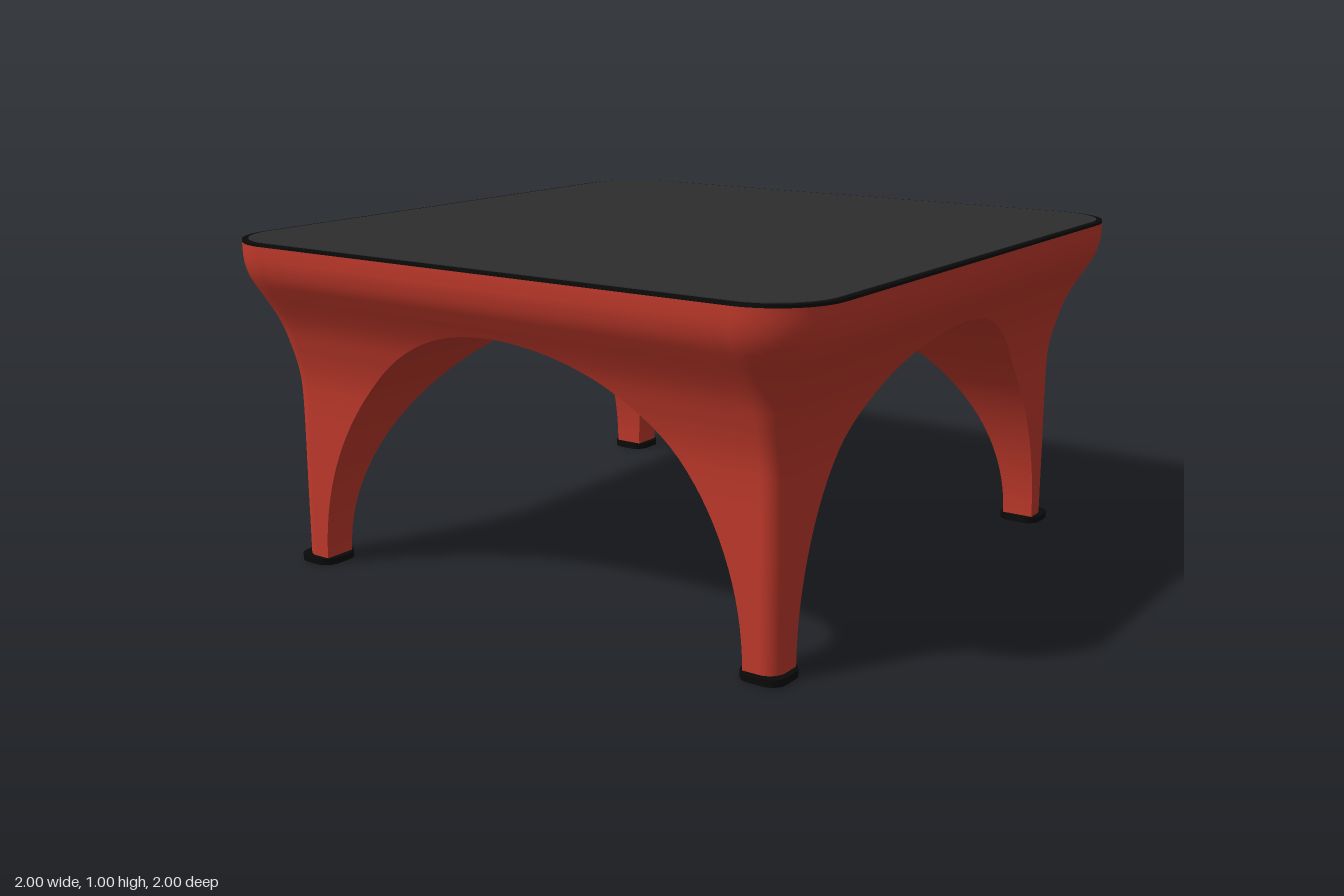
import * as THREE from 'three';

const FOOT_H = 0.02, TRIM_Y = 0.99, CORNER = 0.8;
const ARCH_RX = 0.75, ARCH_RY = 0.785, ARCH_STEPS = 64;

// Side profile: half width of the body at each height
const profile = new THREE.SplineCurve([
  [0.85, 0.0], [0.85, 0.25], [0.85, 0.5], [0.858, 0.6], [0.885, 0.7], [0.904, 0.75],
  [0.931, 0.8], [0.962, 0.85], [0.985, 0.89], [0.997, 0.93], [1, 0.965], [1, 1],
].map(([x, y]) => new THREE.Vector2(x, y))).getPoints(220);

function halfWidth(y) {
  let i = 1;
  while (i < profile.length - 1 && profile[i].y < y) i++;
  const a = profile[i - 1], b = profile[i];
  return THREE.MathUtils.mapLinear(y, a.y, b.y, a.x, b.x);
}

// Points of one arch, left to right
const arch = Array.from({ length: ARCH_STEPS + 1 }, (_, i) => {
  const t = Math.PI * (1 - i / ARCH_STEPS);
  return { x: ARCH_RX * Math.cos(t), y: FOOT_H + ARCH_RY * Math.sin(t) };
});

// Smooth surface from columns of points
function surface(columns, closed) {
  const rows = columns[0].length, pos = columns.flat(2), index = [];
  const n = closed ? columns.length : columns.length - 1;
  for (let i = 0; i < n; i++) {
    for (let j = 0; j < rows - 1; j++) {
      const a = i * rows + j, b = ((i + 1) % columns.length) * rows + j;
      index.push(a, b, a + 1, b, b + 1, a + 1);
    }
  }
  const g = new THREE.BufferGeometry();
  g.setAttribute('position', new THREE.Float32BufferAttribute(pos, 3));
  g.setIndex(index);
  g.computeVertexNormals();
  return g;
}

// Outer wall: rounded-square outline flaring upward, lower edge follows the arches
function wallGeometry() {
  const side = [{ x: -CORNER, z: CORNER, nx: 0, nz: 1, y: FOOT_H }];
  for (const p of arch) side.push({ x: p.x, z: CORNER, nx: 0, nz: 1, y: p.y });
  for (let i = 0; i < 14; i++) {
    const a = (i / 14) * Math.PI / 2;
    side.push({ x: CORNER, z: CORNER, nx: Math.sin(a), nz: Math.cos(a), y: FOOT_H });
  }
  const columns = [];
  let outline = side;
  for (let k = 0; k < 4; k++) {
    for (const p of outline) {
      const column = [];
      for (let j = 0; j <= 48; j++) {
        const y = THREE.MathUtils.lerp(p.y, TRIM_Y, j / 48);
        const r = halfWidth(y) - CORNER;
        column.push([p.x + p.nx * r, y, p.z + p.nz * r]);
      }
      columns.push(column);
    }
    outline = outline.map((p) => ({ x: p.z, z: -p.x, nx: p.nz, nz: -p.nx, y: p.y }));
  }
  return surface(columns, true);
}

// One quarter of the groin vault, from the diagonal creases out to the wall
function vaultGeometry() {
  return surface(arch.map(({ x, y }) => {
    const column = [];
    for (let j = 0; j <= 8; j++) {
      column.push([x, y, THREE.MathUtils.lerp(Math.abs(x), halfWidth(y), j / 8)]);
    }
    return column;
  }), false);
}

// Flat rounded square lying on y = 0
function slab(half, radius, height) {
  const s = new THREE.Shape(), c = half - radius;
  s.absarc(c, c, radius, 0, Math.PI / 2);
  s.absarc(-c, c, radius, Math.PI / 2, Math.PI);
  s.absarc(-c, -c, radius, Math.PI, Math.PI * 1.5);
  s.absarc(c, -c, radius, Math.PI * 1.5, Math.PI * 2);
  const g = new THREE.ExtrudeGeometry(s, { depth: height, bevelEnabled: false, curveSegments: 14 });
  return g.rotateX(-Math.PI / 2);
}

export function createModel() {
  const model = new THREE.Group();
  model.name = 'table';
  const red = new THREE.MeshStandardMaterial({ color: 0xc0392b });
  const charcoal = new THREE.MeshStandardMaterial({ color: 0x2d2d2d });
  const black = new THREE.MeshStandardMaterial({ color: 0x0a0a0a });

  function add(name, geometry, material, x = 0, y = 0, z = 0) {
    const mesh = new THREE.Mesh(geometry, material);
    mesh.name = name;
    mesh.position.set(x, y, z);
    model.add(mesh);
    return mesh;
  }

  // Body: wall and vaulted underside
  add('bodyWall', wallGeometry(), red);
  const vault = vaultGeometry();
  ['front', 'left', 'back', 'right'].forEach((name, k) => {
    add(name + 'Vault', vault, red).rotation.y = k * Math.PI / 2;
  });

  // Table top with dark edge trim
  add('topTrim', slab(1, 0.2, 0.008), black, 0, TRIM_Y, 0);
  add('topPanel', slab(0.982, 0.182, 0.01), charcoal, 0, TRIM_Y, 0);

  // Foot pads
  const foot = slab(0.067, 0.045, FOOT_H);
  for (const x of [1, -1]) {
    for (const z of [1, -1]) {
      const name = (z > 0 ? 'front' : 'back') + (x > 0 ? 'Left' : 'Right') + 'Foot';
      add(name, foot, black, x * CORNER, 0, z * CORNER);
    }
  }
  return model;
}
